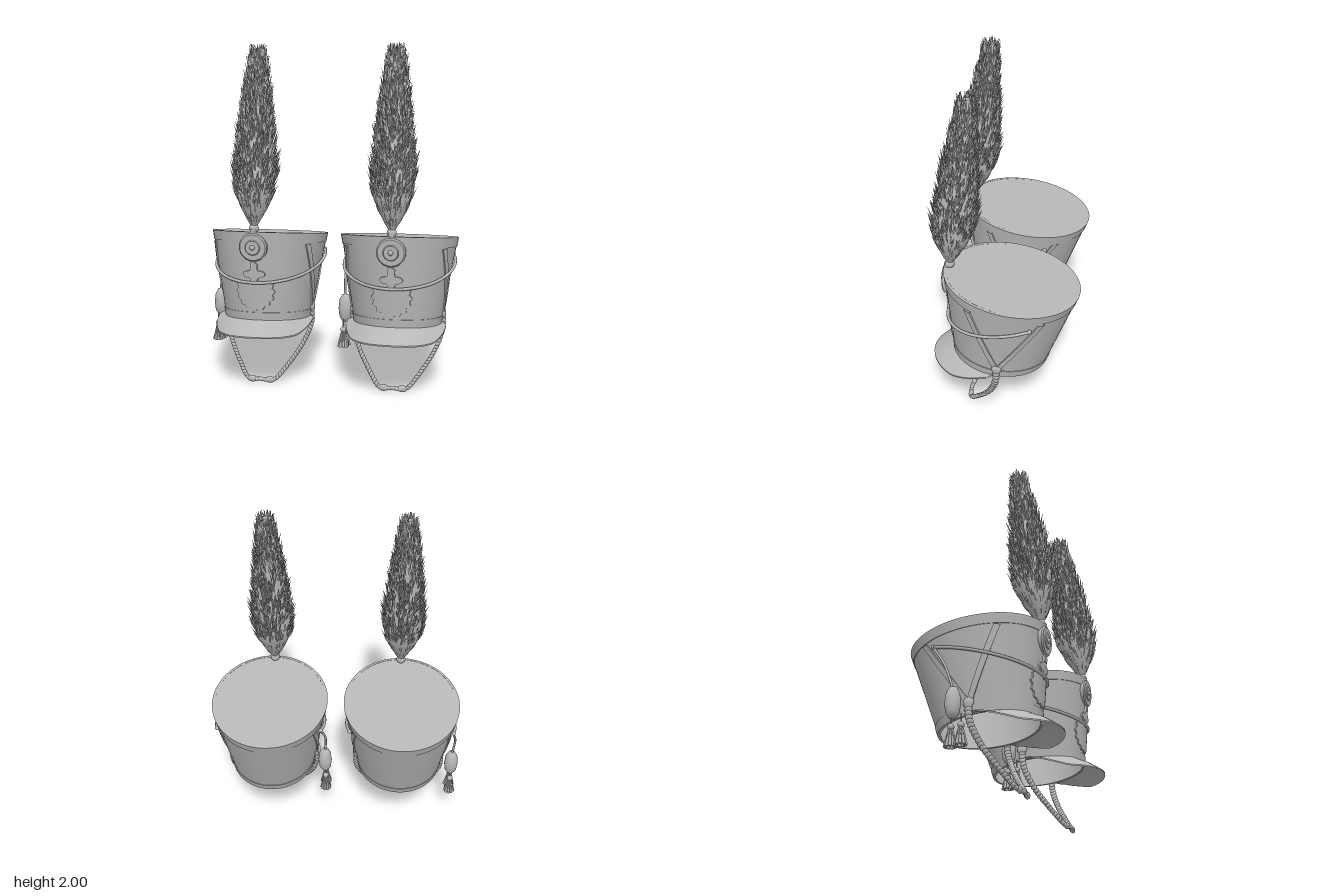
import * as THREE from 'three';
import { toCreasedNormals } from 'three/addons/utils/BufferGeometryUtils.js';

const grey = new THREE.MeshStandardMaterial({ color: 0xb8b8b8, side: THREE.DoubleSide });
grey.name = 'plain grey';
const V = (x, y, z) => new THREE.Vector3(x, y, z);
const mix = THREE.MathUtils.lerp;

function add(group, name, geometry, x = 0, y = 0, z = 0) {
  const m = new THREE.Mesh(geometry, grey);
  m.name = name;
  m.position.set(x, y, z);
  group.add(m);
  return m;
}

// Skin between rows of points
function loft(rows, crease = 0.6) {
  const n = rows[0].length, index = [];
  for (let i = 0; i < rows.length - 1; i++) for (let j = 0; j < n - 1; j++) {
    const a = i * n + j, b = a + n;
    index.push(a, a + 1, b, b, a + 1, b + 1);
  }
  const g = new THREE.BufferGeometry().setFromPoints(rows.flat());
  g.setIndex(index);
  return toCreasedNormals(g, crease);
}

// Tilted, flaring crown: t = 0 at the lower rim, 1 at the top; angle 0 faces front
const oval = t => ({ y: mix(0.38, 0.885, t), z: mix(0.0125, -0.055, t), rx: mix(0.258, 0.345, t),
  rz: mix(0.2775, 0.386, t), tilt: mix(0.0325, 0.055, t) });
function ring(a, t, off = 0) {
  const o = oval(t);
  return V((o.rx + off) * Math.sin(a), o.y + o.tilt * Math.cos(a), o.z + (o.rz + off) * Math.cos(a));
}
// Point on the crown at an angle, with height given as a rule of z
function atAngle(a, heightOf, off) {
  let t = 0.5;
  for (let i = 0; i < 12; i++) { const p = ring(a, t); t += (heightOf(p.z) - p.y) / 0.5; }
  return ring(a, t, off);
}
// Point on the side of the crown at a given z and y
function atSide(s, z, y, off) {
  let t = 0.5, a = 0;
  for (let i = 0; i < 12; i++) {
    const o = oval(t);
    a = Math.acos(THREE.MathUtils.clamp((z - o.z) / o.rz, -1, 1));
    t += (y - ring(a, t).y) / 0.5;
  }
  return ring(s * a, t, off);
}
const circle = f => Array.from({ length: 65 }, (_, i) => f(i / 64 * Math.PI * 2));
const frontZ = (x, y) => {
  const o = oval((y - 0.4125) / 0.5275);
  return o.z + o.rz * Math.sqrt(1 - (x / o.rx) ** 2);
};

// Raised plaque that follows the curve of the front
function plaque(group, name, cy, radius, lift) {
  const rows = [0.001, 0.25, 0.5, 0.75, 0.98, 1].map((k, i) => circle(a => {
    const r = radius(a) * k, x = r * Math.cos(a), y = cy + r * Math.sin(a);
    return V(x, y, frontZ(x, y) + (i === 5 ? -0.003 : lift));
  }));
  add(group, name, loft(rows));
}

function crown(hat) {
  const profile = [[1, -0.012], [0, -0.012], [0, 0], [0.5, 0], [1, 0]];
  const rows = profile.map(([t, off]) => circle(a => ring(a, t, off)));
  rows.push(circle(() => V(0, 0.885, -0.055)));
  add(hat, 'crown', loft(rows));
  for (const [name, t0, t1] of [['upperBand', 0.89, 1], ['lowerBand', 0, 0.09]])
    add(hat, name, loft([[t0, 0], [t0, 0.004], [t1, 0.004], [t1, 0]].map(([t, o]) => circle(a => ring(a, t, o)))));
}

function visor(hat) {
  const rows = [];
  for (let i = 0; i <= 40; i++) {
    const a = mix(-1.62, 1.62, i / 40), c = Math.max(0, Math.cos(a));
    const inner = ring(a, 0.01, -0.004);
    const z = 0.13 + 0.285 * Math.cos(a * 1.12);
    const y = mix(0.385, 0.333, Math.min(1, c * 1.7)) + 0.012 * c ** 6;
    const outer = V(0.292 * Math.sin(a * 1.0), y, z);
    const mid = inner.clone().lerp(outer, 0.5).add(V(0, 0.007, 0));
    const low = p => p.clone().add(V(0, -0.008, 0));
    rows.push([inner, mid, outer, low(outer), low(mid), low(inner), inner]);
  }
  add(hat, 'visor', loft(rows));
}

// Flat strap lying on the side of the crown
function strap(hat, s, z0, y0, z1, y1) {
  const rows = [], w = 0.016;
  for (let i = 0; i <= 12; i++) {
    const z = mix(z0, z1, i / 12), y = mix(y0, y1, i / 12);
    rows.push([[-w, -0.002], [-w, 0.008], [w, 0.008], [w, -0.002]].map(([d, o]) => atSide(s, z + d, y, o)));
  }
  add(hat, 'sideStrap', loft(rows));
}

function chinStrap(hat, s) {
  const path = new THREE.CatmullRomCurve3([V(s * 0.272, 0.44, 0), V(s * 0.27, 0.34, 0.008), V(s * 0.225, 0.22, 0.055),
    V(s * 0.15, 0.105, 0.13), V(s * 0.075, 0.025, 0.19), V(0, 0.027, 0.2)]);
  const bead = new THREE.SphereGeometry(1, 10, 8);
  for (let i = 0; i <= 28; i++) {
    const u = i / 28, p = path.getPointAt(u);
    const m = add(hat, 'chinStrapLink', bead, p.x, p.y, p.z);
    m.up.set(1, 0, 0);
    m.lookAt(p.clone().add(path.getTangentAt(u)));
    m.scale.set(mix(0.022, 0.013, u), 0.012, 0.021);
  }
  add(hat, 'strapBoss', new THREE.SphereGeometry(0.03, 16, 12), s * 0.272, 0.44, 0).scale.x = 0.5;
  add(hat, 'chinKnot', bead, s * 0.055, 0.025, 0.195).scale.set(0.03, 0.02, 0.015);
}

function cordAndTassel(hat) {
  const pts = [];
  for (let i = 0; i <= 32; i++)
    pts.push(atAngle(mix(-1.98, 1.98, i / 32), z => 0.635 + 0.245 * (0.33 - z), 0.012));
  add(hat, 'frontCord', new THREE.TubeGeometry(new THREE.CatmullRomCurve3(pts), 96, 0.009, 8));
  for (const p of [pts[0], pts[32]]) add(hat, 'cordEnd', new THREE.SphereGeometry(0.012, 10, 8), p.x, p.y, p.z);
  const hang = new THREE.CatmullRomCurve3([pts[0], V(-0.336, 0.64, -0.11), V(-0.332, 0.5, -0.06)]);
  add(hat, 'hangingCord', new THREE.TubeGeometry(hang, 20, 0.007, 8));
  const bulb = [[0, 0.34], [0.02, 0.343], [0.036, 0.37], [0.042, 0.42], [0.036, 0.475], [0.02, 0.505], [0, 0.51]];
  add(hat, 'tasselBulb', new THREE.LatheGeometry(bulb.map(p => new THREE.Vector2(...p)), 20), -0.33, 0, -0.06);
  const strand = new THREE.CylinderGeometry(0.004, 0.009, 0.11, 5);
  for (const [dz, y] of [[-0.01, 0.3], [-0.065, 0.295]]) {
    add(hat, 'tasselCap', new THREE.SphereGeometry(0.018, 12, 8), -0.333, y, dz);
    add(hat, 'tasselLink', new THREE.CylinderGeometry(0.004, 0.004, 0.06, 6), -0.333, y + 0.03, dz);
    for (let i = 0; i < 9; i++) {
      const a = i * Math.PI * 2 / 9, c = Math.cos(a), n = Math.sin(a);
      const m = add(hat, 'tasselStrand', strand, -0.333 + c * 0.017, y - 0.052, dz + n * 0.017);
      m.rotation.set(-n * 0.2, 0, c * 0.2);
    }
  }
}

function plume(hat, seed) {
  const rand = () => (seed = (seed * 16807) % 2147483647) / 2147483647;
  const shape = [0.02, 0.075, 0.115, 0.122, 0.115, 0.106, 0.096, 0.085, 0.073, 0.062, 0.045, 0.02];
  const radius = u => {
    const k = Math.min(10.999, u * 11), i = Math.floor(k);
    return mix(shape[i], shape[i + 1], k - i);
  };
  const axis = u => V(0, mix(0.97, 1.97, u), mix(0.3, 0.175, u));
  const rows = [];
  for (let i = 0; i <= 22; i++)
    rows.push(circle(a => axis(i / 22).add(V(Math.sin(a), 0, Math.cos(a)).multiplyScalar(radius(i / 22) * 0.92))));
  rows.push(circle(() => axis(1)));
  add(hat, 'plumeCore', loft(rows));
  // Small folded feathers pointing up and outward
  const pts = [];
  for (let i = 0; i < 1500; i++) {
    const u = Math.pow(rand(), 1.15) * 0.95, a = rand() * Math.PI * 2;
    const out = V(Math.sin(a), 0, Math.cos(a)), side = V(Math.cos(a), 0, -Math.sin(a));
    const root = axis(u).addScaledVector(out, radius(u) * 0.88);
    const len = mix(0.07, 0.11, rand()), spread = mix(0.45, 0.12, u) * mix(0.5, 1.3, rand());
    const tip = root.clone().add(V(0, len, -0.01)).addScaledVector(out, len * spread)
      .addScaledVector(side, (rand() - 0.5) * 0.035);
    tip.y = Math.min(tip.y, 2);
    const mid = root.clone().lerp(tip, 0.45), w = mix(0.006, 0.011, rand());
    const l = mid.clone().addScaledVector(side, -w), r = mid.clone().addScaledVector(side, w);
    const ridge = mid.clone().addScaledVector(out, 0.005);
    pts.push(root, ridge, l, root, r, ridge, l, ridge, tip, ridge, r, tip);
  }
  const feathers = new THREE.BufferGeometry().setFromPoints(pts);
  feathers.computeVertexNormals();
  add(hat, 'plumeFeathers', feathers);
  add(hat, 'plumeSocket', new THREE.SphereGeometry(0.028, 16, 12), 0, 0.957, 0.302);
  add(hat, 'plumeStem', new THREE.CylinderGeometry(0.02, 0.016, 0.09, 12), 0, 0.91, 0.316);
}

function buildHat(x, seed) {
  const hat = new THREE.Group();
  hat.name = 'plumedHat';
  hat.position.x = x;
  crown(hat);
  visor(hat);
  for (const s of [-1, 1]) {
    strap(hat, s, 0.155, 0.85, 0.004, 0.44);
    strap(hat, s, -0.25, 0.79, -0.004, 0.44);
    chinStrap(hat, s);
  }
  cordAndTassel(hat);
  // Rosette and front plate
  const disc = [[0, 0.02], [0.04, 0.02], [0.045, 0.015], [0.075, 0.015], [0.083, 0.008], [0.083, -0.012]];
  const rosette = add(hat, 'rosette', toCreasedNormals(new THREE.LatheGeometry(disc.map(p => new THREE.Vector2(...p)), 40), 0.4),
    0, 0.85, 0.323);
  rosette.rotation.x = Math.PI / 2 + 0.07;
  add(hat, 'rosetteButton', new THREE.SphereGeometry(0.015, 14, 10), 0, 0.85, 0.343);
  plaque(hat, 'frontPlate', 0.585, a => Math.min(0.112 + 0.007 * Math.cos(a * 16), 0.06 / Math.max(0.01, Math.sin(a))), 0.007);
  plaque(hat, 'plateOrnament', 0.69, a => 0.05 + 0.016 * Math.cos(a * 4), 0.011);
  plaque(hat, 'plateFinial', 0.745, a => 0.021 + 0.003 * Math.cos(a * 3), 0.013);
  plume(hat, seed);
  return hat;
}

export function createModel() {
  const model = new THREE.Group();
  model.name = 'pairOfPlumedHats';
  model.add(buildHat(-0.385, 71), buildHat(0.41, 71));
  return model;
}
